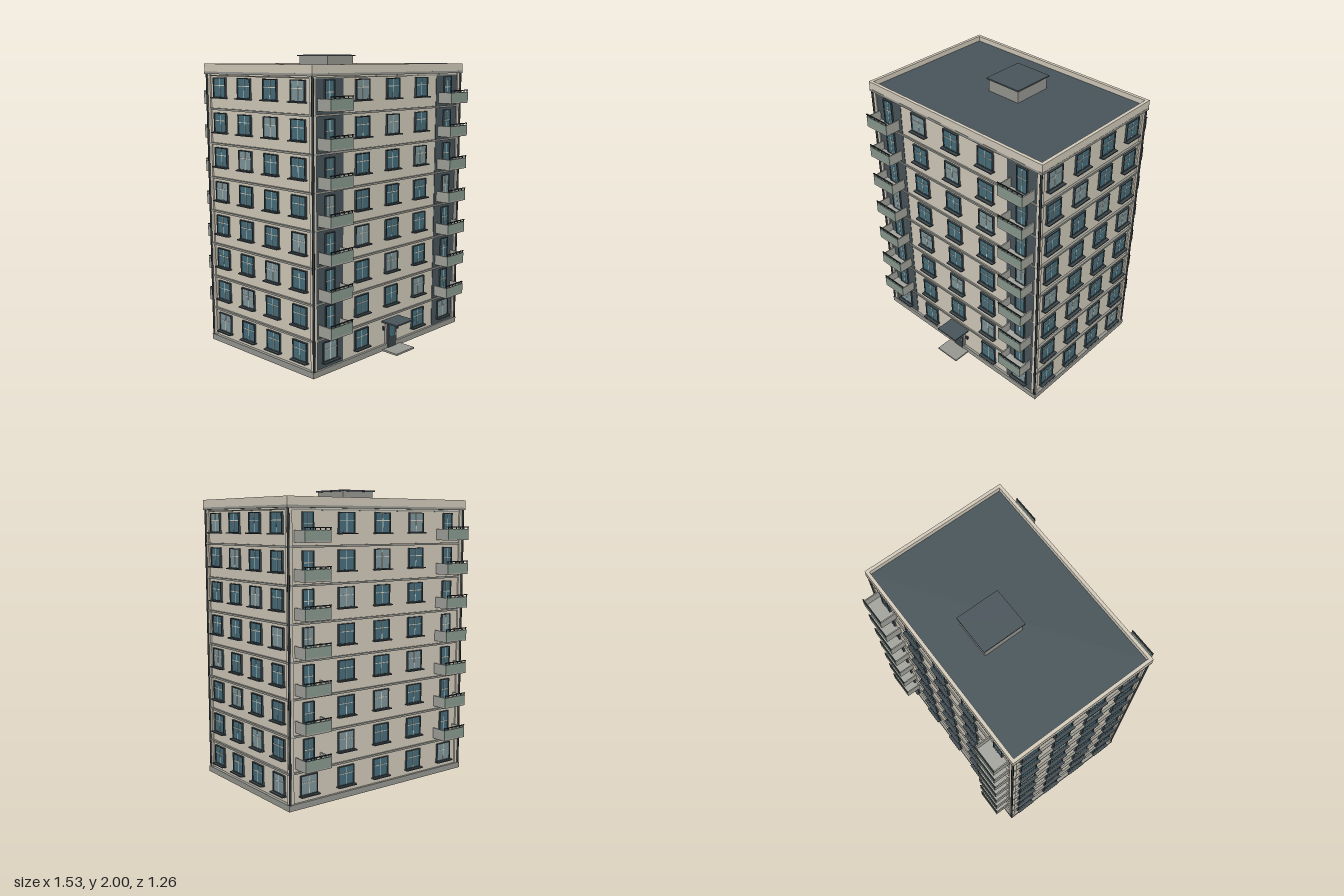
import * as THREE from 'three';

const mat = (color, extra = {}) => new THREE.MeshStandardMaterial({ color, ...extra });
const M = {
  wall: mat(0xd6cebe), dark: mat(0x4a565c), trim: mat(0x9a9a94), slab: mat(0xa6a6a0),
  frame: mat(0x3c474c), glass: mat(0x47707e), lit: mat(0x80989c), bar: mat(0xcfcfc4),
  panel: mat(0x8a9c90), metal: mat(0x2c3236),
};

const FLOORS = 8, STEP = 0.234, ZC = -0.013;
const HX = 0.73, HZ = 0.5; // wall half sizes
const unit = new THREE.BoxGeometry(1, 1, 1);

// Box given by size and centre
function box(parent, name, m, [w, h, d], [x, y, z]) {
  const mesh = new THREE.Mesh(unit, m);
  mesh.name = name;
  mesh.scale.set(w, h, d);
  mesh.position.set(x, y, z);
  parent.add(mesh);
  return mesh;
}

function group(parent, name, x = 0, y = 0, z = 0) {
  const g = new THREE.Group();
  g.name = name;
  g.position.set(x, y, z);
  parent.add(g);
  return g;
}

// Glazed opening centred on its group, +z pointing out of the wall
function glazing(parent, name, x, y, w, h, lit) {
  const g = group(parent, name, x, y, 0);
  const t = 0.006;
  box(g, 'pane', lit ? M.lit : M.glass, [w - t, h - t, 0.012], [0, 0, 0.002]);
  for (const s of [-1, 1]) {
    box(g, 'frameSide', M.frame, [t, h, 0.024], [s * (w - t) / 2, 0, 0.002]);
    box(g, 'frameRail', M.frame, [w, t, 0.024], [0, s * (h - t) / 2, 0.002]);
  }
  box(g, 'mullion', M.bar, [0.005, h - 2 * t, 0.012], [0, 0, 0.004]);
  box(g, 'transom', M.bar, [w - 2 * t, 0.005, 0.012], [0, 0.014, 0.004]);
  return g;
}

function windowUnit(parent, x, f, lit) {
  const g = glazing(parent, 'window', x, f * STEP + 0.146, 0.13, 0.132, lit);
  box(g, 'sill', M.frame, [0.144, 0.008, 0.036], [0, -0.068, 0.016]);
}

// Balcony with door, slab, parapet panels and a rail on short posts
function balcony(parent, x, f, lit) {
  const y = f * STEP;
  glazing(parent, 'balconyDoor', x, y + 0.124, 0.084, 0.176, lit);
  const g = group(parent, 'balcony', x, y + 0.027, 0);
  const w = 0.196, d = 0.115;
  box(g, 'balconySlab', M.slab, [w, 0.012, d], [0, 0.006, d / 2]);
  box(g, 'balconyFront', M.panel, [w, 0.066, 0.008], [0, 0.042, d - 0.004]);
  for (const s of [-1, 1])
    box(g, 'balconySide', M.slab, [0.008, 0.066, d - 0.008], [s * (w / 2 - 0.004), 0.042, (d - 0.008) / 2]);
  box(g, 'handrail', M.metal, [w + 0.004, 0.006, 0.008], [0, 0.089, d - 0.004]);
  for (let i = 0; i < 6; i++)
    box(g, 'railPost', M.metal, [0.005, 0.014, 0.005], [(i / 5 - 0.5) * (w - 0.008), 0.081, d - 0.004]);
}

function entrance(parent) {
  const g = group(parent, 'entrance');
  box(g, 'doorFrame', M.trim, [0.106, 0.19, 0.02], [0, 0.1, 0.008]);
  box(g, 'door', M.frame, [0.086, 0.176, 0.02], [0, 0.1, 0.012]);
  box(g, 'doorGlass', M.glass, [0.05, 0.085, 0.02], [0, 0.13, 0.0135]);
  box(g, 'doorHandle', M.bar, [0.004, 0.025, 0.01], [0.034, 0.095, 0.025]);
  box(g, 'canopy', M.dark, [0.18, 0.01, 0.137], [0, 0.206, 0.0685]);
  box(g, 'doorStep', M.trim, [0.186, 0.012, 0.143], [0, 0.006, 0.0715]);
  box(g, 'wallLamp', M.metal, [0.008, 0.026, 0.014], [-0.075, 0.157, 0.006]);
  box(g, 'intercom', M.metal, [0.018, 0.024, 0.012], [0.075, 0.13, 0.005]);
}

// Long facade: five bays, balconies on the outer ones
function longFacade(parent, front) {
  const g = group(parent, front ? 'frontFacade' : 'backFacade', 0, 0, front ? HZ : -HZ);
  if (!front) g.rotation.y = Math.PI;
  for (let f = 0; f < FLOORS; f++) {
    for (let c = 0; c < 5; c++) {
      const x = (c - 2) * 0.297 * (front ? 1 : -1), lit = (c + f) % 4 === 0;
      if (f > 0 && c % 4 === 0) balcony(g, x, f, lit);
      else if (!(front && f === 0 && c === 2)) windowUnit(g, x, f, lit);
    }
  }
  if (front) {
    for (const s of [-1, 1])
      box(g, 'darkWallPanel', M.dark, [0.25, 1.825, 0.01], [s * 0.595, 0.952, -0.002]);
    entrance(g);
  }
}

// Short facade: four bays of windows
function sideFacade(parent, s) {
  const g = group(parent, s > 0 ? 'leftFacade' : 'rightFacade', s * HX, 0, 0);
  g.rotation.y = s * Math.PI / 2;
  for (let f = 0; f < FLOORS; f++)
    for (let c = 0; c < 4; c++)
      windowUnit(g, s * (c - 1.5) * 0.253, f, (c + f) % 4 === 3);
}

export function createModel() {
  const root = new THREE.Group();
  root.name = 'apartmentBlock';
  const b = group(root, 'building', 0, 0, ZC);

  // Body, plinth and bands between floors
  box(b, 'walls', M.wall, [2 * HX, 1.88, 2 * HZ], [0, 0.95, 0]);
  box(b, 'plinth', M.trim, [1.504, 0.04, 1.034], [0, 0.02, 0]);
  for (let f = 1; f < FLOORS; f++)
    box(b, 'floorBand', M.trim, [1.49, 0.013, 1.02], [0, f * STEP + 0.002, 0]);
  box(b, 'upperBand', M.trim, [1.48, 0.008, 1.012], [0, 1.862, 0]);
  box(b, 'cornice', M.trim, [1.51, 0.016, 1.042], [0, 1.88, 0]);

  // Corner pilasters with downpipes
  const pipe = new THREE.CylinderGeometry(0.008, 0.008, 1.835, 8);
  for (const sx of [-1, 1]) for (const sz of [-1, 1]) {
    box(b, 'cornerPilaster', M.wall, [0.03, 1.835, 0.03], [sx * 0.725, 0.955, sz * 0.495]);
    const p = new THREE.Mesh(pipe, M.metal);
    p.name = 'downpipe';
    p.position.set(sx * 0.741, 0.955, sz * 0.511);
    b.add(p);
  }

  // Parapet, roof deck and roof housing
  for (const s of [-1, 1]) {
    box(b, 'parapetLong', M.wall, [1.508, 0.055, 0.022], [0, 1.9125, s * 0.509]);
    box(b, 'parapetShort', M.wall, [0.022, 0.055, 0.996], [s * 0.743, 1.9125, 0]);
  }
  box(b, 'roofDeck', M.dark, [1.464, 0.02, 0.996], [0, 1.895, 0]);
  box(b, 'roofHousing', M.trim, [0.254, 0.09, 0.28], [0, 1.945, -0.112]);
  box(b, 'roofHousingCap', M.dark, [0.276, 0.01, 0.304], [0, 1.995, -0.112]);

  longFacade(b, true);
  longFacade(b, false);
  sideFacade(b, 1);
  sideFacade(b, -1);
  return root;
}
